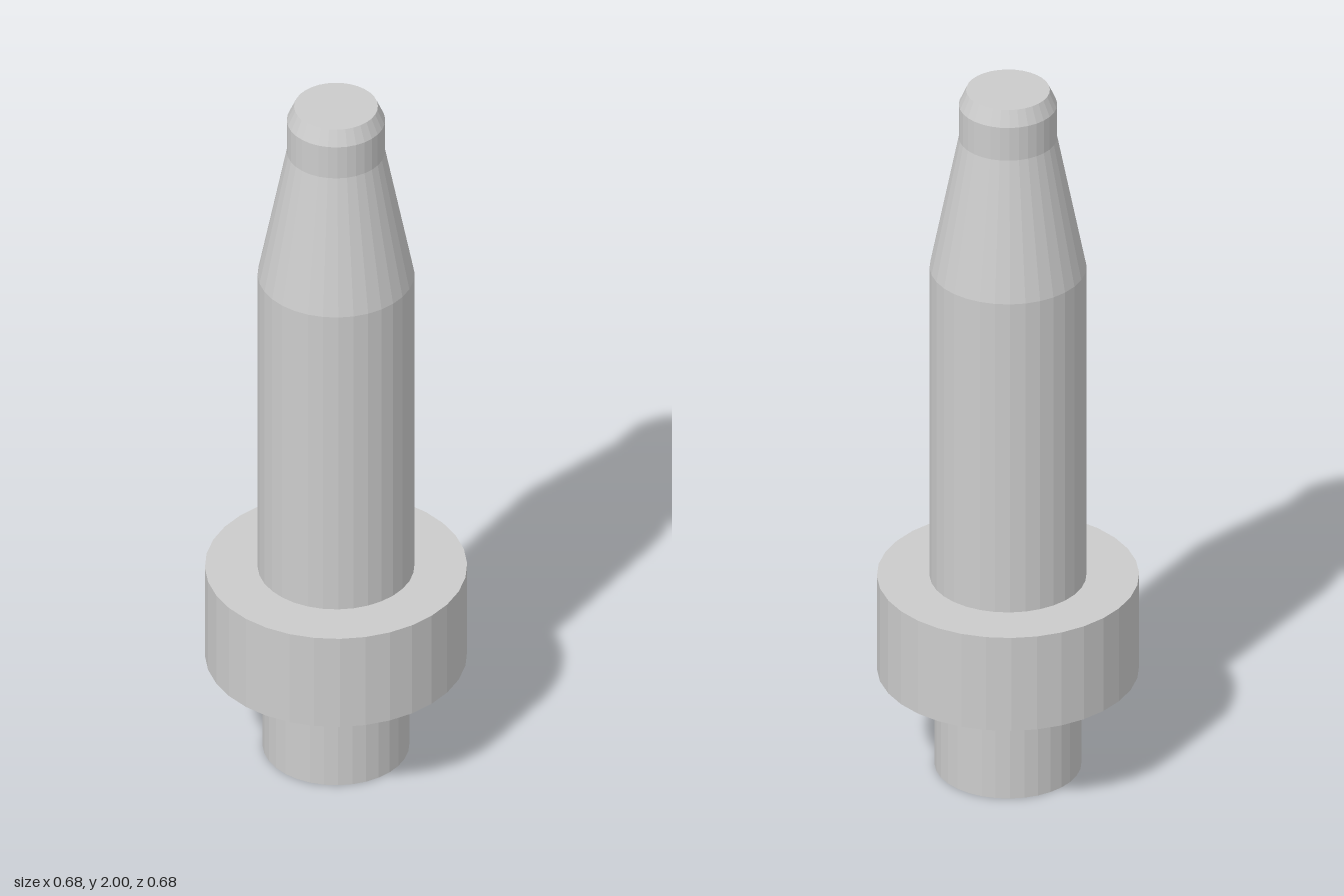
import * as THREE from 'three';

const SIDES = 32;

export function createModel() {
  const model = new THREE.Group();
  model.name = 'locatingPin';
  const material = new THREE.MeshStandardMaterial({ color: 0xcccccc, flatShading: true });

  // Turns a [radius, height] profile, listed from bottom to top, around the y axis
  const turned = (name, profile) => {
    const points = profile.map(([r, y]) => new THREE.Vector2(r, y));
    const mesh = new THREE.Mesh(new THREE.LatheGeometry(points, SIDES), material);
    mesh.name = name;
    model.add(mesh);
  };

  // Mounting stub, closed at the base
  turned('stub', [[0, 0], [0.191, 0], [0.191, 0.284]]);

  // Wide collar with flat shoulders
  turned('collar', [[0.191, 0.284], [0.341, 0.284], [0.341, 0.56], [0.204, 0.56]]);

  // Straight shaft, its taper and the narrow neck
  turned('shaft', [[0.204, 0.56], [0.204, 1.475]]);
  turned('taper', [[0.204, 1.475], [0.128, 1.86]]);
  turned('neck', [[0.128, 1.86], [0.128, 1.957]]);

  // Chamfered, flat-topped tip
  turned('tip', [[0.128, 1.957], [0.109, 2], [0, 2]]);

  return model;
}
